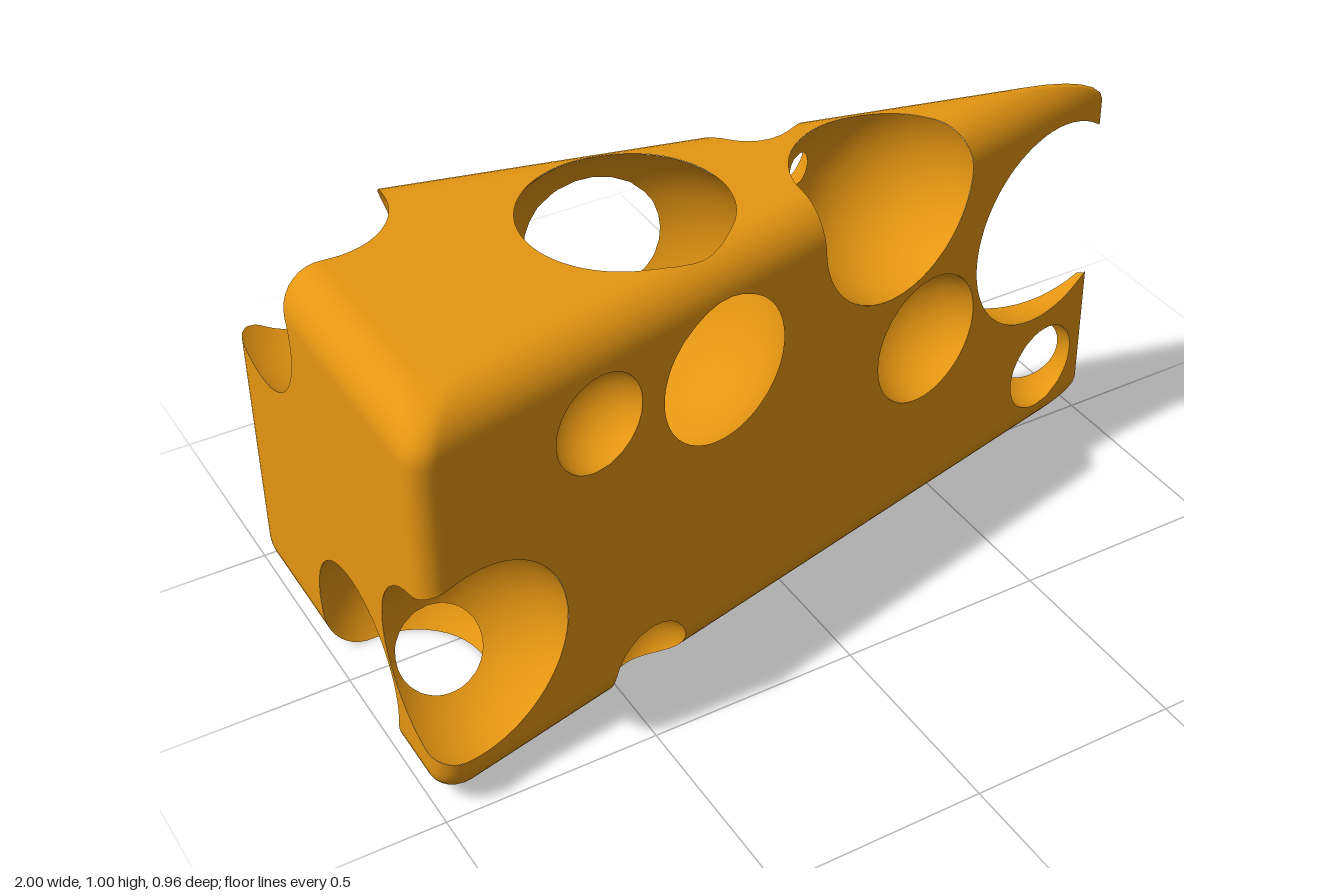
import * as THREE from 'three';

// Wedge plan: two long sides meeting at the tip plus the rind side
const HALF = Math.atan(0.242), APEX = 1.03, BEVEL = 0.1;
const SIDES = [-Math.PI / 2 + HALF, Math.PI / 2 - HALF, Math.PI, Math.PI * 1.5 + HALF]; // normal angles
const REACH = [Math.sin(HALF) * APEX, Math.sin(HALF) * APEX, 1, Math.sin(HALF) * APEX];
const CORNER = [0.01, 0.05, 0.05];
const ARC = 7;

// Holes: x, y, z, radius
const HOLES = [
  [-0.275, 0.74, 0.004, 0.35],
  [0.81, 0.627, -0.064, 0.285],
  [0.846, 0.205, 0.0285, 0.114],
  [0.422, 0.505, 0.15, 0.163],
  [-0.545, 0.785, 0.382, 0.116],
  [0.16, 0.585, -0.211, 0.113],
  [-0.106, 0.37, -0.275, 0.082],
  [0.31, 0.91, 0.135, 0.24],
  [0.15, 0.91, -0.2, 0.14],
  [-0.886, 0.355, 0.464, 0.243],
  [-0.89, 0.15, 0.08, 0.235],
  [-0.396, 0.175, -0.252, 0.22],
  [-0.425, 0.058, 0.352, 0.106],
  [-0.87, 0.835, -0.325, 0.246],
].map(([x, y, z, r]) => ({ c: new THREE.Vector3(x, y, z), r }));

// Rounded triangle, inset by d, as [x, z] points
function outline(d) {
  const pts = [];
  for (let i = 0; i < 3; i++) {
    const a = SIDES[i], b = SIDES[i + 1], r = CORNER[i];
    const ha = REACH[i] - d - r, hb = REACH[i + 1] - d - r, det = Math.sin(b - a);
    const cx = (ha * Math.sin(b) - hb * Math.sin(a)) / det;
    const cz = (hb * Math.cos(a) - ha * Math.cos(b)) / det;
    for (let k = 0; k < ARC; k++) {
      const t = a + (b - a) * k / (ARC - 1);
      pts.push([cx + r * Math.cos(t), cz + r * Math.sin(t)]);
    }
  }
  return pts;
}

// Same outline with the straight runs divided finely
function denseOutline(d) {
  const base = outline(d), pts = [];
  base.forEach((p, i) => {
    const q = base[(i + 1) % base.length];
    const n = i % ARC === ARC - 1 ? (i === 2 * ARC - 1 ? 28 : 56) : 1;
    for (let k = 0; k < n; k++) pts.push([p[0] + (q[0] - p[0]) * k / n, p[1] + (q[1] - p[1]) * k / n]);
  });
  return pts;
}

// How far the rounded top and bottom edges pull the outline in at height y
function insetAt(y) {
  const t = Math.min(BEVEL, Math.max(0, BEVEL - Math.min(y, 1 - y)));
  return BEVEL - Math.sqrt(BEVEL * BEVEL - t * t);
}

// Positive inside the wedge
function insideWedge(p) {
  const pts = outline(insetAt(p.y));
  let m = Math.max(-p.y, p.y - 1);
  pts.forEach(([x, z], i) => {
    const [x2, z2] = pts[(i + 1) % pts.length];
    const ex = x2 - x, ez = z2 - z;
    m = Math.max(m, ((p.x - x) * ez - (p.z - z) * ex) / Math.hypot(ex, ez));
  });
  return -m;
}

const outsideHole = (h) => (p) => p.distanceTo(h.c) - h.r;

// Solid wedge from rings: bottom cap, rounded edge, sides, rounded edge, top cap
function wedgeGeometry() {
  const levels = [], CAP = 24, ROUND = 9, WALL = 28;
  for (let i = 0; i < CAP; i++) levels.push([0, BEVEL, i / CAP]);
  for (let i = 0; i < ROUND; i++) {
    const t = i / ROUND * Math.PI / 2;
    levels.push([BEVEL * (1 - Math.cos(t)), BEVEL * (1 - Math.sin(t)), 1]);
  }
  for (let i = 0; i <= WALL / 2; i++) levels.push([BEVEL + (0.5 - BEVEL) * i / (WALL / 2), 0, 1]);
  const lower = levels.slice(0, -1).reverse();
  lower.forEach(([y, d, s]) => levels.push([1 - y, d, s]));

  const pos = [], index = [], mid = -0.35;
  let n = 0;
  levels.forEach(([y, d, s]) => {
    const ring = denseOutline(d);
    n = ring.length;
    ring.forEach(([x, z]) => pos.push(mid + (x - mid) * s, y, z * s));
  });
  for (let i = 0; i < levels.length - 1; i++) {
    for (let k = 0; k < n; k++) {
      const a = i * n + k, b = i * n + (k + 1) % n;
      index.push(a, a + n, b, b, a + n, b + n);
    }
  }
  const g = new THREE.BufferGeometry();
  g.setAttribute('position', new THREE.Float32BufferAttribute(pos, 3));
  g.setIndex(index);
  g.computeVertexNormals();
  return g;
}

// Geometry to a list of triangles; flip turns it inside out
function toTriangles(geometry, flip) {
  const g = geometry.toNonIndexed(), P = g.attributes.position, N = g.attributes.normal, tris = [];
  for (let i = 0; i < P.count; i += 3) {
    const t = [0, 1, 2].map((k) => ({
      p: new THREE.Vector3().fromBufferAttribute(P, i + k),
      n: new THREE.Vector3().fromBufferAttribute(N, i + k).multiplyScalar(flip ? -1 : 1),
    }));
    tris.push(flip ? t.reverse() : t);
  }
  return tris;
}

// Point on edge a-b where the field changes sign (a is kept)
function crossing(a, b, field) {
  let lo = 0, hi = 1;
  const p = new THREE.Vector3();
  for (let i = 0; i < 18; i++) {
    const m = (lo + hi) / 2;
    if (field(p.lerpVectors(a.p, b.p, m)) > 0) lo = m; else hi = m;
  }
  return { p: p.lerpVectors(a.p, b.p, lo), n: a.n.clone().lerp(b.n, lo).normalize() };
}

// Keep only the part of the triangles where the field is positive
function clip(tris, field) {
  const out = [];
  for (const t of tris) {
    const keep = t.map((v) => field(v.p) > 0);
    const poly = [];
    for (let i = 0; i < 3; i++) {
      const j = (i + 1) % 3;
      if (keep[i]) poly.push(t[i]);
      if (keep[i] !== keep[j]) poly.push(keep[i] ? crossing(t[i], t[j], field) : crossing(t[j], t[i], field));
    }
    for (let i = 2; i < poly.length; i++) out.push([poly[0], poly[i - 1], poly[i]]);
  }
  return out;
}

function toMesh(tris, material, name) {
  const pos = [], nor = [];
  tris.flat().forEach((v) => { pos.push(...v.p.toArray()); nor.push(...v.n.toArray()); });
  const g = new THREE.BufferGeometry();
  g.setAttribute('position', new THREE.Float32BufferAttribute(pos, 3));
  g.setAttribute('normal', new THREE.Float32BufferAttribute(nor, 3));
  const mesh = new THREE.Mesh(g, material);
  mesh.name = name;
  return mesh;
}

export function createModel() {
  const group = new THREE.Group();
  group.name = 'cheeseWedge';
  const material = new THREE.MeshStandardMaterial({ color: 0xe59612 });

  // Outer surface with the holes cut out
  let body = toTriangles(wedgeGeometry(), false);
  HOLES.forEach((h) => { body = clip(body, outsideHole(h)); });
  group.add(toMesh(body, material, 'wedgeSurface'));

  // Hollow bowls: the inside of each sphere, trimmed to the wedge and its neighbours
  const bowls = new THREE.Group();
  bowls.name = 'holes';
  HOLES.forEach((h, i) => {
    const ball = new THREE.SphereGeometry(h.r, 48, 32).translate(h.c.x, h.c.y, h.c.z);
    let tris = clip(toTriangles(ball, true), insideWedge);
    HOLES.forEach((o) => {
      if (o !== h && o.c.distanceTo(h.c) < o.r + h.r) tris = clip(tris, outsideHole(o));
    });
    bowls.add(toMesh(tris, material, `hole${i + 1}`));
  });
  group.add(bowls);
  return group;
}
